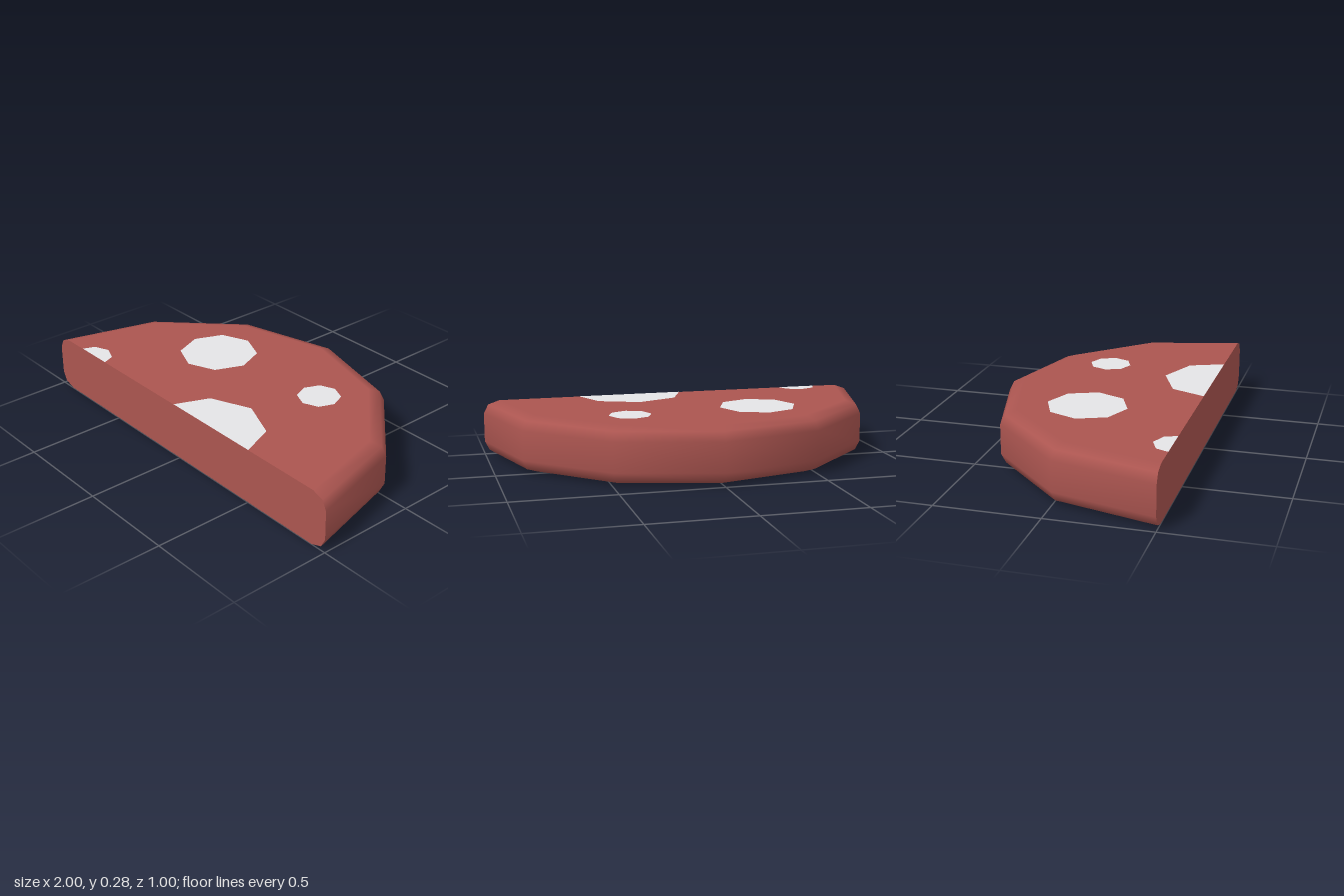
import * as THREE from 'three';

const H = 0.277, FRONT = 0.5;

// Octagon outline in x/z, cut off at the straight front edge
function spotOutline(cx, cz, r) {
  const ring = [], out = [];
  for (let i = 0; i < 8; i++) {
    const a = (i * Math.PI) / 4;
    ring.push(new THREE.Vector2(cx + r * Math.cos(a), cz + r * Math.sin(a)));
  }
  ring.forEach((p, i) => {
    const q = ring[(i + 1) % 8];
    if (p.y <= FRONT) out.push(p);
    if (p.y <= FRONT !== q.y <= FRONT) out.push(p.clone().lerp(q, (FRONT - p.y) / (q.y - p.y)));
  });
  return out;
}

export function createModel() {
  const model = new THREE.Group();
  model.name = 'halfSausageSlice';
  const meat = new THREE.MeshStandardMaterial({ color: 0xab5550 });
  meat.name = 'meat red';
  const fat = new THREE.MeshStandardMaterial({ color: 0xf5f5f8 });
  fat.name = 'fat white';

  const add = (name, geometry, material, y = 0, z = 0) => {
    const mesh = new THREE.Mesh(geometry, material);
    mesh.name = name;
    mesh.position.set(0, y, z);
    model.add(mesh);
  };

  // Rounded rim: half a revolution of the edge profile
  const profile = [[0.92, 0], [0.977, 0.02], [1, 0.066], [1, H - 0.066], [0.977, H - 0.02], [0.92, H]]
    .map(([x, y]) => new THREE.Vector2(x, y));
  const rim = new THREE.LatheGeometry(profile, 6, Math.PI / 2, Math.PI);
  // Blend the rim smoothly into the flat faces
  const n = profile.length;
  for (let i = 0; i < rim.attributes.normal.count; i++) {
    if (i % n === 0) rim.attributes.normal.setXYZ(i, 0, -1, 0);
    if (i % n === n - 1) rim.attributes.normal.setXYZ(i, 0, 1, 0);
  }
  add('rim', rim, meat, 0, FRONT);

  // Flat top and bottom
  add('topFace', new THREE.CircleGeometry(0.92, 6, 0, Math.PI).rotateX(-Math.PI / 2), meat, H, FRONT);
  add('bottomFace', new THREE.CircleGeometry(0.92, 6, Math.PI, Math.PI).rotateX(Math.PI / 2), meat, 0, FRONT);

  // Straight cut at the front
  const mirrored = profile.map((p) => new THREE.Vector2(-p.x, p.y)).reverse();
  add('cutFace', new THREE.ShapeGeometry(new THREE.Shape([...profile, ...mirrored])), meat, 0, FRONT);

  // Fat spots on both flat faces
  const spots = [[-0.31, 0, 0.195], [0.355, -0.07, 0.105], [0.235, 0.533, 0.283], [-0.695, 0.515, 0.105]];
  for (const [cx, cz, r] of spots) {
    const outline = spotOutline(cx, cz, r);
    const flipped = outline.map((p) => new THREE.Vector2(p.x, -p.y));
    add('topSpot', new THREE.ShapeGeometry(new THREE.Shape(flipped)).rotateX(-Math.PI / 2), fat, H + 0.001);
    add('bottomSpot', new THREE.ShapeGeometry(new THREE.Shape(outline)).rotateX(Math.PI / 2), fat, -0.001);
  }
  return model;
}
